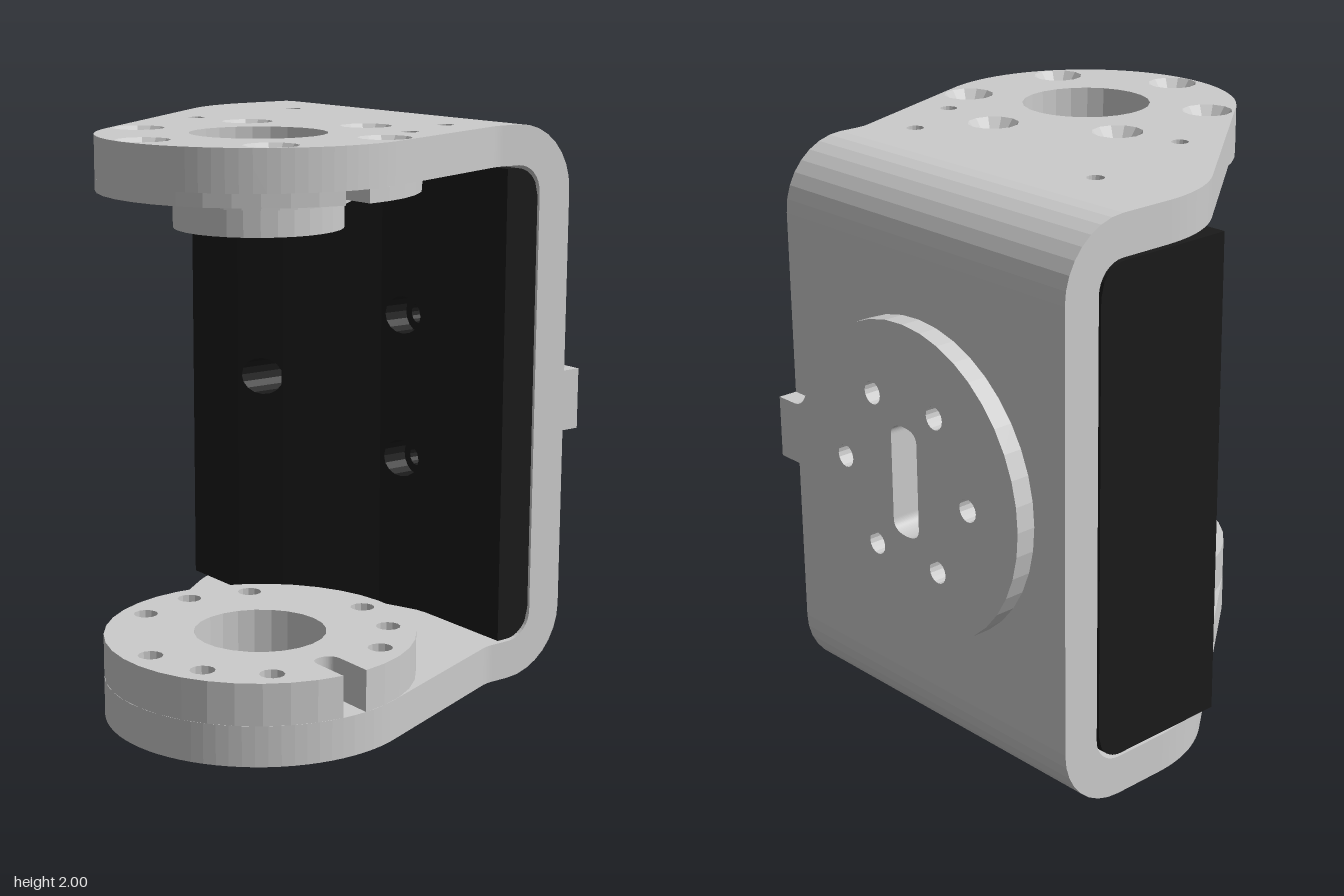
import * as THREE from 'three';

const grey = new THREE.MeshStandardMaterial({ color: 0xcccccc, flatShading: true });
const greyInside = new THREE.MeshStandardMaterial({ color: 0xcccccc, flatShading: true, side: THREE.DoubleSide });
const black = new THREE.MeshStandardMaterial({ color: 0x1a1a1a, flatShading: true });

const HX = 0.28, HZ = 0.335, HR = 0.54;      // hinge axis and radius
const X0 = -0.82, X1 = 0.55;                 // bracket width
const DX = -0.13;                            // centre of the rear disc
const T = 0.14, BEND = 0.24, BZ = -0.57;     // sheet thickness, bend radius, bend centre

const mesh = (name, geometry, material = grey) => {
  const m = new THREE.Mesh(geometry, material);
  m.name = name;
  return m;
};
const rad = THREE.MathUtils.degToRad;
const polar = (cx, cy, r, deg) => [cx + r * Math.cos(rad(deg)), cy + r * Math.sin(rad(deg))];

// Round hole as a regular polygon
function hole(x, y, r, n = 16) {
  const pts = [];
  for (let i = 0; i < n; i++) pts.push(new THREE.Vector2(...polar(x, y, r, (i * 360) / n)));
  return new THREE.Path(pts);
}
const rect = (x0, y0, x1, y1) => new THREE.Shape([[x0, y0], [x1, y0], [x1, y1], [x0, y1]].map(p => new THREE.Vector2(...p)));

function extrude(shape, depth, holes = [], steps = 1) {
  shape.holes = holes;
  return new THREE.ExtrudeGeometry(shape, { depth, steps, bevelEnabled: false, curveSegments: 18 });
}
// Slab drawn in (x, z), filling y0..y1
const slab = (shape, y0, y1, holes) => extrude(shape, y1 - y0, holes).rotateX(Math.PI / 2).translate(0, y1, 0);
// Panel drawn in (x, y), filling z0..z1
const panel = (shape, z0, z1, holes, steps) => extrude(shape, z1 - z0, holes, steps).translate(0, 0, z0);

const screwSpots = [30, 90, 150, 210, 270, 330].map(a => polar(HX, HZ, 0.447, a));
const pinSpots = [60, 180, 300].map(a => polar(HX, HZ, 0.447, a));

// Tapered arm outline with a round end about the hinge axis
function armShape() {
  const s = new THREE.Shape();
  const right = Math.atan2(-0.386, 0.923), left = Math.atan2(0.613, -0.79);
  s.moveTo(X0, BZ);
  s.lineTo(X1, BZ);
  s.lineTo(X1, -0.5);
  s.quadraticCurveTo(X1, -0.465, 0.565, -0.43);
  s.absarc(HX, HZ, HR, right, left, false);
  s.lineTo(-0.71, -0.06);
  s.quadraticCurveTo(X0, -0.2, X0, -0.38);
  s.closePath();
  return s;
}

// Arm with countersunk screw holes; top selects the side that is sunk
function arm(top) {
  const g = new THREE.Group();
  g.name = top ? 'upperArm' : 'lowerArm';
  const sink = 0.06;
  const extra = () => [hole(HX, HZ, 0.23, 24), ...(top
    ? [[-0.48, -0.355], [0.41, -0.355], [0.55, -0.085], [-0.35, 0.165]].map(p => hole(...p, 0.03)) : [])];
  const outer = top ? [2 - sink, 2] : [0, sink];
  const inner = top ? [2 - T, 2 - sink] : [sink, T];
  g.add(mesh('armOuterLayer', slab(armShape(), ...outer, [...screwSpots.map(p => hole(...p, 0.09, 12)), ...extra()])));
  g.add(mesh('armInnerLayer', slab(armShape(), ...inner, [...screwSpots.map(p => hole(...p, 0.045, 12)), ...extra()])));
  for (const [x, z] of screwSpots) {
    const cone = new THREE.CylinderGeometry(top ? 0.09 : 0.045, top ? 0.045 : 0.09, sink, 12, 1, true);
    g.add(mesh('countersink', cone.translate(x, (outer[0] + outer[1]) / 2, z), greyInside));
  }
  return g;
}

// Quarter-round bend joining an arm to the back plate
function bend(top) {
  const s = new THREE.Shape();
  const cy = top ? 2 - BEND : BEND, end = top ? Math.PI / 2 : -Math.PI / 2;
  s.absarc(BZ, cy, BEND, Math.PI, end, top);
  s.absarc(BZ, cy, BEND - T, end, Math.PI, !top);
  s.closePath();
  const geo = new THREE.ExtrudeGeometry(s, { depth: X1 - X0, bevelEnabled: false, curveSegments: 4 });
  return mesh(top ? 'upperBend' : 'lowerBend', geo.rotateY(-Math.PI / 2).translate(X1, 0, 0));
}

// Hinge ring with a keyway on its left side
function hingeRing(name, y0, y1) {
  const s = new THREE.Shape(), w = 0.047, a = Math.asin(w / HR);
  s.absarc(HX, HZ, HR, a, Math.PI * 2 - a, false);
  s.lineTo(HX + 0.4, HZ - w);
  s.quadraticCurveTo(HX + 0.35, HZ - w, HX + 0.35, HZ);
  s.quadraticCurveTo(HX + 0.35, HZ + w, HX + 0.4, HZ + w);
  s.closePath();
  const holes = [hole(HX, HZ, 0.23, 24), ...[...screwSpots, ...pinSpots].map(p => hole(...p, 0.043, 12))];
  return mesh(name, slab(s, y0, y1, holes));
}

function collar(name, r, y0, y1) {
  const s = new THREE.Shape(hole(HX, HZ, r, 32).getPoints());
  return mesh(name, slab(s, y0, y1, [hole(HX, HZ, 0.23, 24)]));
}

// Bolt holes and slot shared by the back plate and the rear disc
function rearHoles() {
  const slot = new THREE.Path(), w = 0.065, h = 0.15;
  slot.moveTo(DX + w, 1 - h);
  slot.lineTo(DX + w, 1 + h);
  slot.quadraticCurveTo(DX + w, 1 + h + 0.045, DX, 1 + h + 0.045);
  slot.quadraticCurveTo(DX - w, 1 + h + 0.045, DX - w, 1 + h);
  slot.lineTo(DX - w, 1 - h);
  slot.quadraticCurveTo(DX - w, 1 - h - 0.045, DX, 1 - h - 0.045);
  slot.quadraticCurveTo(DX + w, 1 - h - 0.045, DX + w, 1 - h);
  return [slot, ...[0, 60, 120, 180, 240, 300].map(a => hole(...polar(DX, 1, 0.313, a), 0.04))];
}

// Rear disc with a filleted locating tab
function rearDisc() {
  const s = new THREE.Shape(), a = 0.35, [px, py] = [DX + 0.55 * Math.cos(a), 0.55 * Math.sin(a)];
  s.absarc(DX, 1, 0.55, a, Math.PI * 2 - a, false);
  s.quadraticCurveTo(px + 0.02, 1 - 0.11, px + 0.08, 1 - 0.11);
  s.lineTo(X1, 1 - 0.11);
  s.lineTo(X1, 1 + 0.11);
  s.lineTo(px + 0.08, 1 + 0.11);
  s.quadraticCurveTo(px + 0.02, 1 + 0.11, px, 1 + py);
  return mesh('rearDisc', panel(s, -0.88, -0.81, rearHoles()));
}

// Dark filler block: rounded rear edges and a stepped, sloping front
function fillerBlock() {
  const g = new THREE.Group();
  g.name = 'fillerBlock';
  const zMid = -0.56, r = 0.1, half = 0.85;
  const bolts = [180, 60, 300].map(a => polar(DX, 1, 0.313, a));

  const back = panel(rect(X0, 1 - half, X1, 1 + half), zMid - r, zMid, bolts.map(p => hole(...p, 0.037)), 8);
  const pos = back.attributes.position;
  for (let i = 0; i < pos.count; i++) {
    const dy = pos.getY(i) - 1, t = zMid - pos.getZ(i);
    if (Math.abs(dy) > 0.8) pos.setY(i, 1 + Math.sign(dy) * (half - r + Math.sqrt(Math.max(0, r * r - t * t))));
  }
  g.add(mesh('fillerBack', back, black));

  // Front strips between neighbouring profile points (x, z)
  const profile = [[X0, -0.12], [-0.56, -0.12], [-0.525, -0.13], [-0.375, -0.23], [-0.06, -0.455],
    [0.1, -0.515], [0.15, -0.52], [X1, -0.52]];
  for (let i = 0; i + 1 < profile.length; i++) {
    const [xa, za] = profile[i], [xb, zb] = profile[i + 1];
    const bores = bolts.filter(([x]) => x > xa && x < xb).map(p => hole(...p, 0.07));
    const geo = panel(rect(xa, 1 - half, xb, 1 + half), zMid, 0, bores);
    const p = geo.attributes.position;
    for (let k = 0; k < p.count; k++) {
      if (p.getZ(k) > -0.1) p.setZ(k, za + ((zb - za) * (p.getX(k) - xa)) / (xb - xa));
    }
    g.add(mesh('fillerFront', geo, black));
  }
  for (const child of g.children) child.geometry.computeVertexNormals();
  return g;
}

export function createModel() {
  const model = new THREE.Group();
  model.name = 'hingeBracket';
  const backPlate = panel(rect(X0, BEND, X1, 2 - BEND), BZ - BEND, BZ - BEND + T, rearHoles());
  model.add(
    arm(true), arm(false), bend(true), bend(false),
    mesh('backPlate', backPlate), rearDisc(), fillerBlock(),
    hingeRing('lowerRing', T, 0.285),
    hingeRing('upperRing', 1.815, 2 - T),
    collar('upperCollar', 0.31, 1.78, 1.815),
    collar('lowerCollar', 0.285, 1.69, 1.78),
  );
  return model;
}
